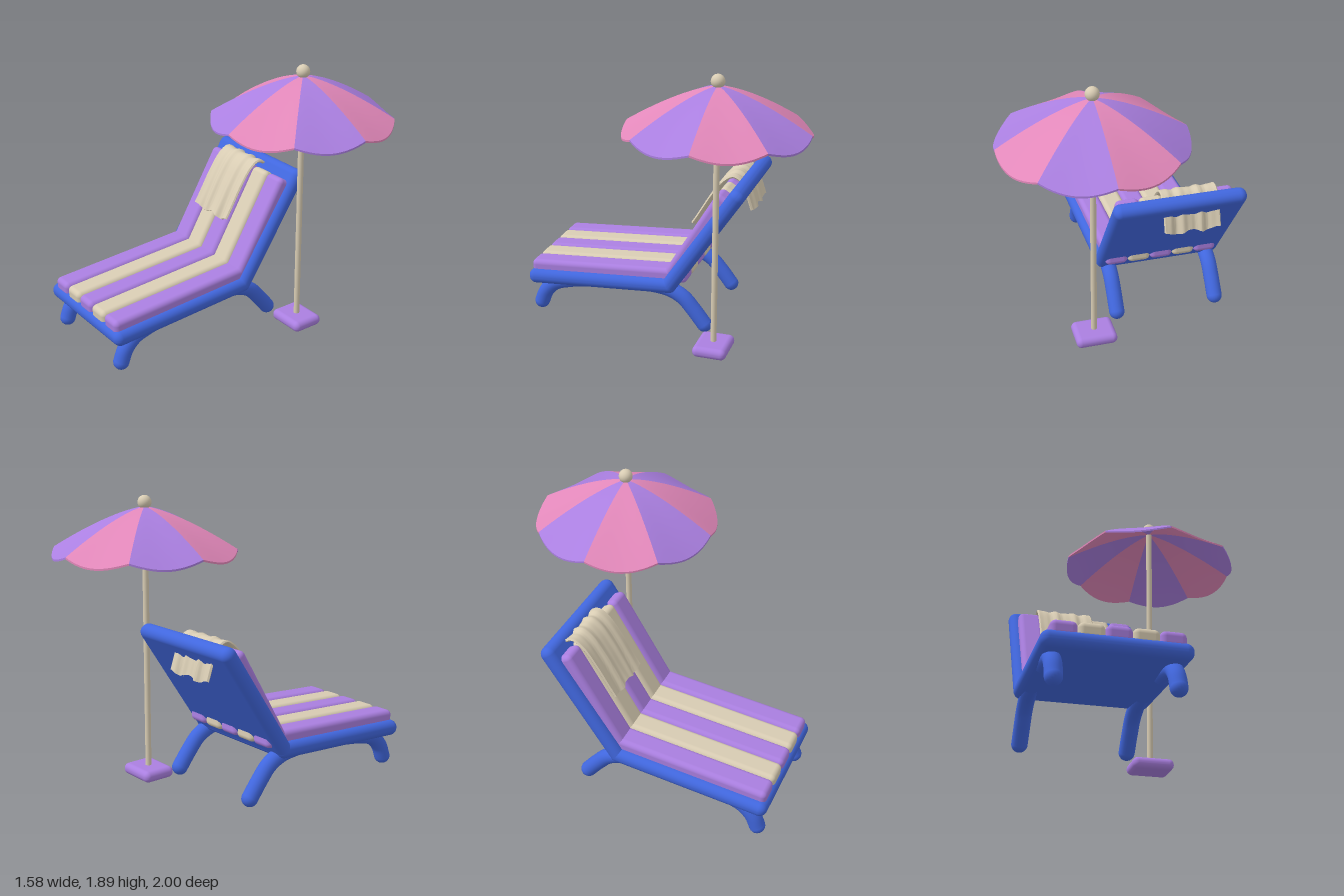
import * as THREE from 'three';
import { toCreasedNormals } from 'three/addons/utils/BufferGeometryUtils.js';
import { RoundedBoxGeometry } from 'three/addons/geometries/RoundedBoxGeometry.js';

const material = (name, color, side = THREE.FrontSide) =>
  Object.assign(new THREE.MeshStandardMaterial({ color, side }), { name });

// Thin two-sided sheet: f(u, v, side) is sampled down the outer face, then back up the inner one
function shell(nu, nv, f) {
  const rows = 2 * nv + 1;
  const geo = new THREE.PlaneGeometry(1, 1, nu, rows);
  const pos = geo.attributes.position;
  for (let j = 0; j <= rows; j++) {
    const outer = j <= nv;
    const v = (outer ? j : rows - j) / nv;
    for (let i = 0; i <= nu; i++) {
      pos.setXYZ(j * (nu + 1) + i, ...f(i / nu, v, outer ? 1 : -1));
    }
  }
  return toCreasedNormals(geo, 0.8);
}

export function createModel() {
  const model = new THREE.Group();
  model.name = 'sunLoungerWithParasol';
  const blue = material('frameBlue', 0x4167de);
  const purple = material('purple', 0xaa7fe0);
  const pink = material('pink', 0xe288ba);
  const cream = material('cream', 0xd8ccb3);

  const add = (name, geo, mat, parent = model) => {
    const mesh = new THREE.Mesh(geo, mat);
    mesh.name = name;
    parent.add(mesh);
    return mesh;
  };

  // Rounded slab whose long axis runs between two [z, y] points
  const slab = (name, mat, x, width, thick, radius, [z0, y0], [z1, y1], parent) => {
    const length = Math.hypot(z1 - z0, y1 - y0);
    const mesh = add(name, new RoundedBoxGeometry(width, thick, length, 5, radius), mat, parent);
    mesh.position.set(x, (y0 + y1) / 2, (z0 + z1) / 2);
    mesh.rotation.x = Math.atan2(y1 - y0, z0 - z1);
    return mesh;
  };

  // Lounger frame: seat and backrest slabs meeting in a rounded hinge
  const lounger = new THREE.Group();
  lounger.name = 'lounger';
  model.add(lounger);
  const midX = -0.35;
  slab('seatFrame', blue, midX, 0.88, 0.105, 0.05, [0.995, 0.292], [-0.092, 0.363], lounger);
  slab('backFrame', blue, midX, 0.88, 0.105, 0.05, [-0.012, 0.318], [-0.526, 1.086], lounger);

  // Striped cushions
  for (let i = 0; i < 5; i++) {
    const x = midX + 0.004 + (i - 2) * 0.157;
    const mat = i % 2 ? cream : purple;
    slab('seatCushion', mat, x, 0.157, 0.1, 0.034, [0.977, 0.36], [-0.163, 0.436], lounger);
    slab('backCushion', mat, x, 0.157, 0.1, 0.034, [-0.025, 0.395], [-0.411, 1.036], lounger);
  }

  // Curved legs with rounded feet
  const legPaths = {
    frontLeg: [[0.925, 0.088], [0.89, 0.17], [0.82, 0.24], [0.7, 0.28], [0.55, 0.305]],
    rearLeg: [[-0.285, 0.088], [-0.205, 0.19], [-0.13, 0.27], [-0.03, 0.318], [0.12, 0.335]],
  };
  for (const [name, path] of Object.entries(legPaths)) {
    for (const x of [-0.703, 0.003]) {
      const points = path.map(([z, y]) => new THREE.Vector3(x, y, z));
      const curve = new THREE.CatmullRomCurve3(points);
      add(name, new THREE.TubeGeometry(curve, 28, 0.053, 20), blue, lounger);
      add(name + 'Foot', new THREE.SphereGeometry(0.053, 20, 14), blue, lounger)
        .position.copy(points[0]);
    }
  }

  // Towel draped over the top of the backrest, from its rear hem to its front hem
  const drape = new THREE.CatmullRomCurve3(
    [[-0.53, 0.85], [-0.497, 0.96], [-0.462, 1.045], [-0.4, 1.083], [-0.335, 1.045],
      [-0.25, 0.93], [-0.18, 0.81], [-0.122, 0.705]]
      .map(([z, y]) => new THREE.Vector3(0, y, z)));
  const towel = shell(48, 30, (u, v, side) => {
    const p = drape.getPoint(v);
    const t = drape.getTangent(v);
    const ends = Math.abs(2 * v - 1);
    const folds = (0.008 * Math.sin(u * 21 + 0.6) + 0.004 * Math.sin(u * 36 + 2)) * (0.5 + 0.7 * ends);
    const half = u === 0 || u === 1 ? 0 : 0.01;
    const off = folds + side * half;
    const hem = 0.012 * Math.sin(u * 13 + 1) * ends ** 6;
    return [-0.615 + 0.375 * u, p.y + t.z * off + hem, p.z - t.y * off];
  });
  add('towel', towel, cream);

  // Parasol base, pole and finial
  const parasol = new THREE.Group();
  parasol.name = 'parasol';
  parasol.position.set(0.194, 0, -0.405);
  model.add(parasol);
  add('base', new RoundedBoxGeometry(0.28, 0.076, 0.23, 6, 0.036), purple, parasol).position.y = 0.039;
  add('pole', new THREE.CylinderGeometry(0.02, 0.02, 1.75, 20), cream, parasol).position.y = 0.935;
  add('finial', new THREE.SphereGeometry(0.045, 24, 16), cream, parasol).position.y = 1.847;

  // Canopy of eight scalloped panels in alternating colours
  for (let i = 0; i < 8; i++) {
    const panel = shell(14, 16, (u, v, side) => {
      const a = (i + 1 - u) * Math.PI / 4;
      const r = 0.595 * v;
      const dip = 0.042 * Math.sin(Math.PI * u) * v ** 1.6;
      const y = 1.82 - 0.265 * v ** 1.4 - dip - (side < 0 ? 0.012 : 0);
      return [r * Math.cos(a), y, r * Math.sin(a)];
    });
    add('canopyPanel', panel, i % 2 ? pink : purple, parasol);
  }
  return model;
}
